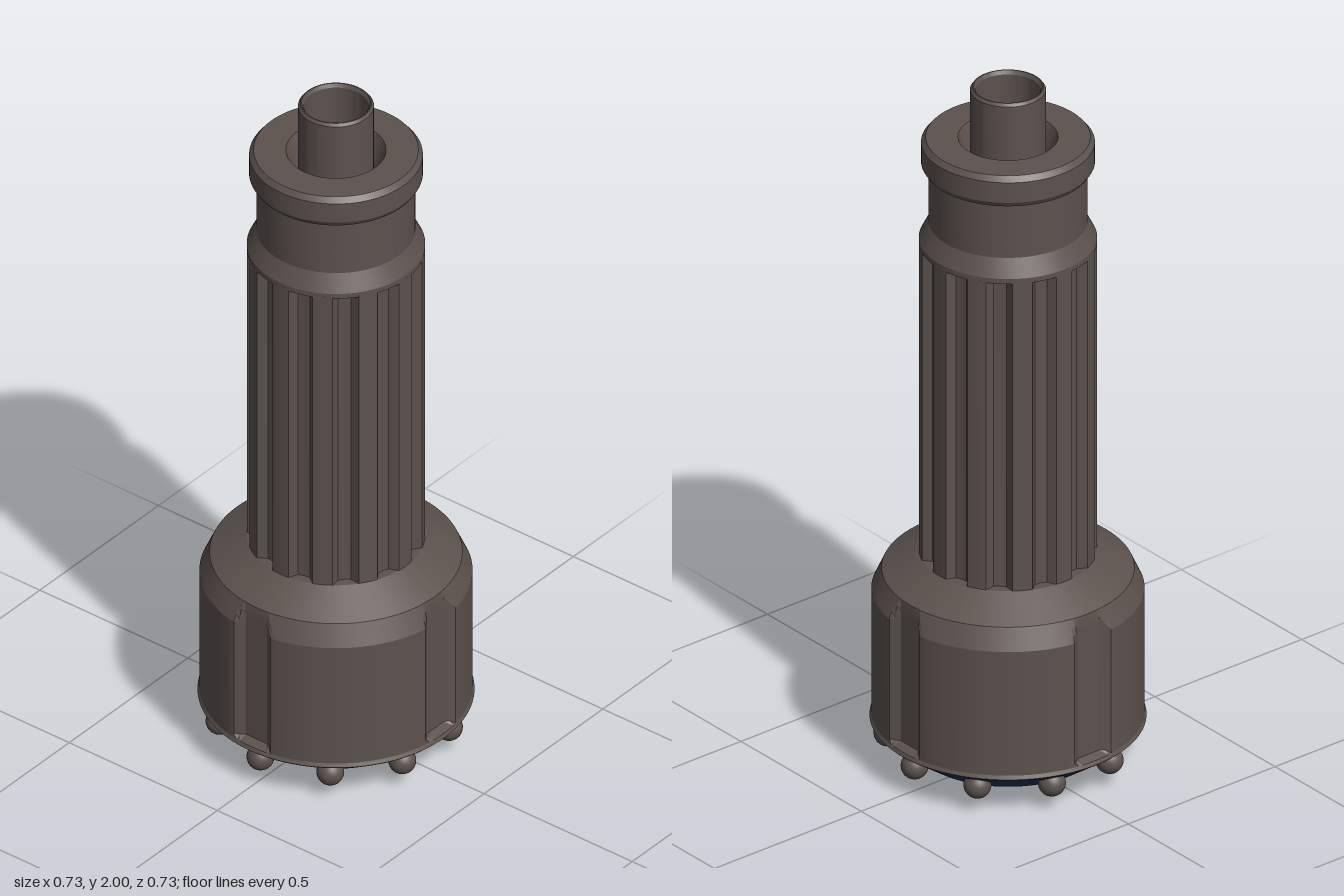
import * as THREE from 'three';
import { toCreasedNormals } from 'three/addons/utils/BufferGeometryUtils.js';

const steel = new THREE.MeshStandardMaterial({ color: 0x5c524d });
steel.name = 'dark steel';
const blue = new THREE.MeshStandardMaterial({ color: 0x1d335f });
blue.name = 'blue face paint';

export function createModel() {
  const model = new THREE.Group();
  model.name = 'drillBit';

  const add = (name, geometry, material = steel) => {
    const mesh = new THREE.Mesh(geometry, material);
    mesh.name = name;
    model.add(mesh);
    return mesh;
  };
  const lathe = (points, segments = 96) =>
    new THREE.LatheGeometry(points.map(([r, y]) => new THREE.Vector2(r, y)), segments);

  // Head: turned body with four shallow flat-bottomed flushing grooves
  const head = lathe([
    [0.36, 0.115], [0.365, 0.12], [0.36, 0.13], [0.36, 0.14], [0.36, 0.5],
    [0.351, 0.52], [0.342, 0.54], [0.333, 0.56], [0.235, 0.615], [0.19, 0.615],
  ], 180);
  const grooveRadius = (angle) => {
    const quarter = Math.PI / 2;
    const d = Math.abs(angle - Math.round(angle / quarter) * quarter);
    const flat = 0.335 / Math.cos(d);
    if (Math.tan(d) * 0.335 <= 0.0355) return flat;
    // sloping groove wall from (0.035, 0.335) to (0.07, 0.358)
    const slope = 0.023 / 0.035;
    const denominator = Math.cos(d) - slope * Math.sin(d);
    return denominator > 0.1 ? (0.335 - slope * 0.035) / denominator : 1;
  };
  const p = head.attributes.position;
  for (let i = 0; i < p.count; i++) {
    const x = p.getX(i), y = p.getY(i), z = p.getZ(i);
    if (y < 0.135) continue;
    const r = Math.hypot(x, z);
    const k = Math.min(r, grooveRadius(Math.atan2(x, z))) / r;
    p.setXYZ(i, x * k, y, z * k);
  }
  add('head', toCreasedNormals(head, 0.25));

  // Blue cutting face: sloped gauge ring and flat centre
  add('cuttingFace', toCreasedNormals(lathe([
    [0.103, 0.04], [0.255, 0.04], [0.362, 0.117],
  ]), 0.3), blue);

  // Splined shaft: twelve ridges with rounded grooves between them
  const outline = new THREE.Shape();
  const ridge = 0.235, count = 12, half = THREE.MathUtils.degToRad(6.5);
  for (let i = 0; i < count; i++) {
    const a = (i / count) * Math.PI * 2;
    const middle = a + Math.PI / count;
    const next = a + (2 * Math.PI) / count - half;
    if (i === 0) outline.moveTo(ridge * Math.cos(a - half), ridge * Math.sin(a - half));
    outline.absarc(0, 0, ridge, a - half, a + half, false);
    for (const t of [-0.55, 0, 0.55]) {
      const g = middle + t * (next - middle);
      const r = t === 0 ? 0.208 : 0.211;
      outline.lineTo(r * Math.cos(g), r * Math.sin(g));
    }
    outline.lineTo(ridge * Math.cos(next), ridge * Math.sin(next));
  }
  const hollow = new THREE.Path();
  hollow.absarc(0, 0, 0.15, 0, Math.PI * 2, true);
  outline.holes.push(hollow);
  const shaft = new THREE.ExtrudeGeometry(outline, {
    depth: 0.95, bevelEnabled: false, curveSegments: 6,
  });
  shaft.rotateX(-Math.PI / 2);
  shaft.translate(0, 0.59, 0);
  add('splinedShaft', toCreasedNormals(shaft, 0.4));

  // Shoulder, neck, collar and the bore that runs down to the face
  add('neckAndCollar', toCreasedNormals(lathe([
    [0.15, 1.535], [0.235, 1.535], [0.235, 1.55], [0.21, 1.6], [0.21, 1.755],
    [0.22, 1.76], [0.229, 1.775], [0.229, 1.835], [0.217, 1.85],
    [0.132, 1.85], [0.103, 1.78], [0.103, 0.04],
  ]), 0.3));

  // Thin tube standing in the bore
  add('airTube', toCreasedNormals(lathe([
    [0.085, 1.55], [0.1, 1.55], [0.1, 1.992], [0.094, 2], [0.091, 2], [0.085, 1.99], [0.085, 1.55],
  ], 64), 0.3));

  // Round buttons: ten on the sloped gauge, six on the flat face
  const buttonGeometry = new THREE.SphereGeometry(0.037, 24, 16);
  const buttonRing = (name, number, radius, y, start) => {
    for (let i = 0; i < number; i++) {
      const a = start + (i / number) * Math.PI * 2;
      add(name, buttonGeometry).position.set(radius * Math.sin(a), y, radius * Math.cos(a));
    }
  };
  buttonRing('gaugeButton', 10, 0.318, 0.075, Math.PI / 2);
  buttonRing('faceButton', 6, 0.182, 0.037, 0);

  return model;
}
